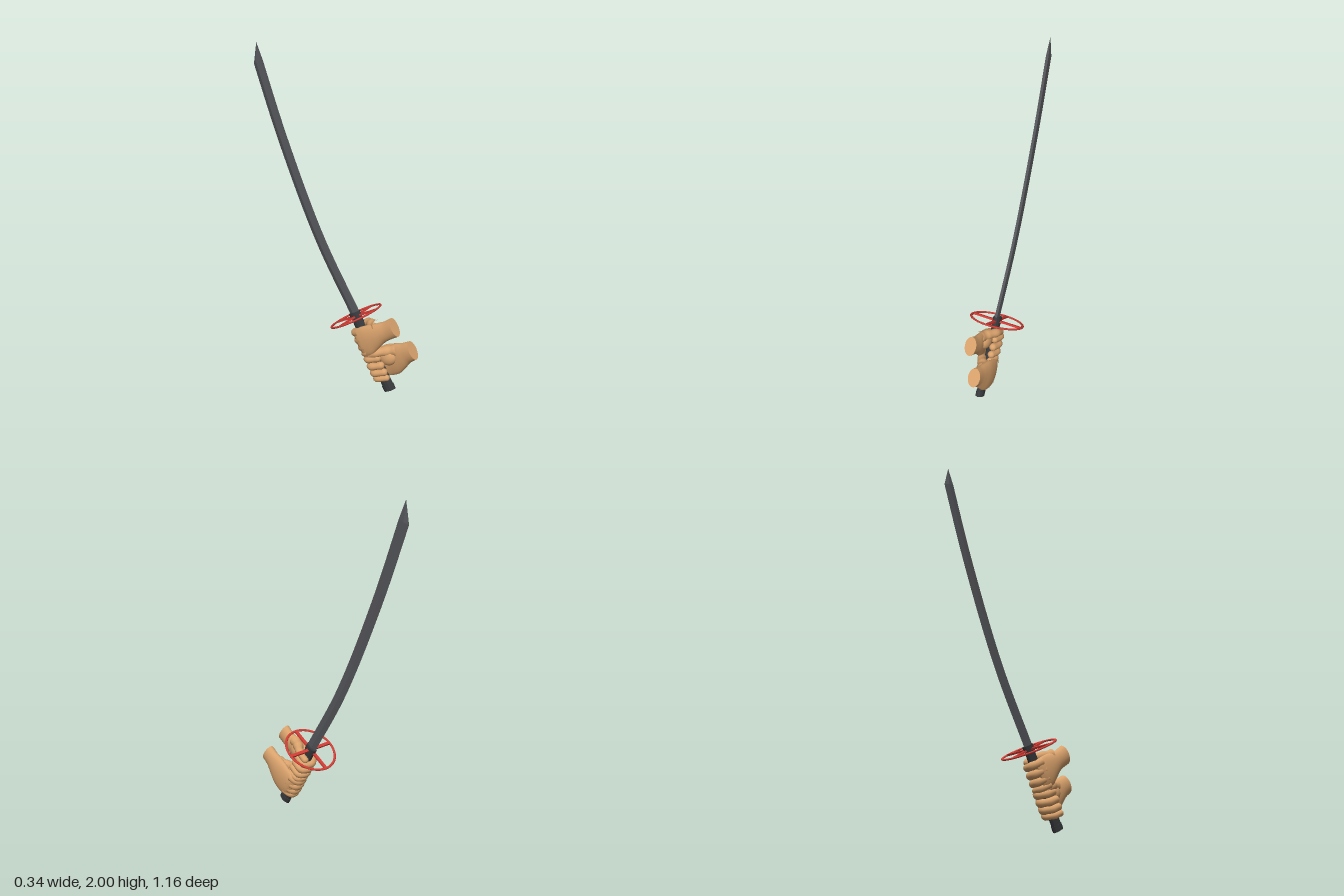
import * as THREE from 'three';
import { mergeVertices } from 'three/addons/utils/BufferGeometryUtils.js';

const V = (x, y, z) => new THREE.Vector3(x, y, z);
const paint = (color, flatShading = false) => new THREE.MeshStandardMaterial({ color, flatShading });
const steel = paint(0x55565a, true);
const grip = paint(0x38393c, true);
const red = paint(0xd23c34);
const skin = paint(0xd9a26c);

function add(parent, name, geometry, material, x = 0, y = 0, z = 0) {
  const mesh = new THREE.Mesh(geometry, material);
  mesh.name = name;
  mesh.position.set(x, y, z);
  parent.add(mesh);
  return mesh;
}

// Skin over cross-section rings (counterclockwise about the travel direction), capped at both ends
function loft(rings) {
  const n = rings[0].length, pos = [], idx = [];
  rings.forEach(r => r.forEach(p => pos.push(p.x, p.y, p.z)));
  for (let i = 0; i < rings.length - 1; i++)
    for (let j = 0; j < n; j++) {
      const a = i * n + j, b = i * n + (j + 1) % n;
      idx.push(a, b, b + n, a, b + n, a + n);
    }
  [rings[0], rings[rings.length - 1]].forEach((r, end) => {
    const base = pos.length / 3;
    const mid = r.reduce((s, p) => s.add(p), V(0, 0, 0)).divideScalar(n);
    [...r, mid].forEach(p => pos.push(p.x, p.y, p.z));
    for (let j = 0; j < n; j++) {
      const k = (j + 1) % n;
      idx.push(base + n, base + (end ? j : k), base + (end ? k : j));
    }
  });
  const g = new THREE.BufferGeometry();
  g.setAttribute('position', new THREE.Float32BufferAttribute(pos, 3));
  g.setIndex(idx);
  g.computeVertexNormals();
  return g;
}

// Round-ended finger that tapers from radius r0 to r1
function finger(points, r0, r1) {
  const curve = new THREE.CatmullRomCurve3(points);
  const seg = 24, sides = 12, g = new THREE.TubeGeometry(curve, seg, 1, sides);
  const p = g.attributes.position, v = V(0, 0, 0);
  for (let i = 0; i <= seg; i++) {
    const c = curve.getPointAt(i / seg);
    const r = THREE.MathUtils.lerp(r0, r1, i / seg) * (1 + 0.07 * Math.cos(i / seg * Math.PI * 6));
    for (let j = 0; j <= sides; j++) {
      const k = i * (sides + 1) + j;
      v.fromBufferAttribute(p, k).sub(c).multiplyScalar(r).add(c);
      p.setXYZ(k, v.x, v.y, v.z);
    }
  }
  g.deleteAttribute('uv');
  g.deleteAttribute('normal');
  const merged = mergeVertices(g, 1e-5);
  merged.computeVertexNormals();
  return merged;
}

// Fist on the grip: palm on side s, fingers wrapping over the back to the other side
function hand(name, s, sections, fingerY, thumbY) {
  const g = new THREE.Group();
  g.name = name;
  // section: [z, y, x, half height, half thickness]
  const path = new THREE.CatmullRomCurve3(sections.map(q => V(s * q[2], q[1], q[0])));
  const size = new THREE.CatmullRomCurve3(sections.map(q => V(q[3], q[4], 0)));
  const rings = [];
  for (let i = 0; i <= 24; i++) {
    const c = path.getPoint(i / 24), h = size.getPoint(i / 24);
    rings.push(Array.from({ length: 28 }, (_, j) => {
      const a = j / 28 * Math.PI * 2;
      return V(c.x + h.y * Math.cos(a), c.y - h.x * Math.sin(a), c.z);
    }));
  }
  add(g, 'palm', loft(rings), skin);
  fingerY.forEach((y, i) => {
    const r = [0.025, 0.026, 0.025, 0.021][i];
    const pts = [V(s * 0.045, y, 0.01), V(s * 0.037, y, -0.028), V(s * 0.005, y - 0.002, -0.047),
      V(-s * 0.03, y - 0.006, -0.036), V(-s * 0.037, y - 0.012, 0), V(-s * 0.027, y - 0.018, 0.04)];
    add(g, 'finger', finger(pts, r, r * 0.85), skin);
    add(g, 'fingerTip', new THREE.SphereGeometry(r * 0.9, 14, 10), skin, pts[5].x, pts[5].y, pts[5].z);
  });
  // thumb crosses the front of the grip
  const t = [V(s * 0.03, thumbY - 0.035, 0.15), V(s * 0.008, thumbY - 0.022, 0.1),
    V(-s * 0.02, thumbY - 0.01, 0.06), V(-s * 0.032, thumbY - 0.008, 0.02), V(-s * 0.03, thumbY - 0.012, -0.02)];
  add(g, 'thumb', finger(t, 0.036, 0.02), skin);
  add(g, 'thumbTip', new THREE.SphereGeometry(0.021, 14, 10), skin, t[4].x, t[4].y, t[4].z);
  const heel = add(g, 'thumbBase', new THREE.SphereGeometry(1, 20, 14), skin, s * 0.012, thumbY - 0.06, 0.085);
  heel.scale.set(0.036, 0.052, 0.06);
  return g;
}

export function createModel() {
  const model = new THREE.Group();

  // Blade: five-sided section swept along the curved spine, ending in a slanted point
  const spine = new THREE.CatmullRomCurve3([V(0, 0.463, 0.194), V(0, 0.89, -0.074),
    V(0, 1.45, -0.34), V(0, 1.998, -0.556)]);
  const rings = [];
  for (let i = 0; i <= 20; i++) {
    const t = i / 20 * 0.938, c = spine.getPointAt(t), d = spine.getTangentAt(t);
    const at = (x, w) => V(x, c.y + d.z * w, c.z - d.y * w);
    rings.push([at(0.008, 0), at(0.011, 0.038), at(0, 0.068), at(-0.011, 0.038), at(-0.008, 0)]);
  }
  rings.push(rings[0].map(() => V(0, 2, -0.557)));
  add(model, 'blade', loft(rings), steel);

  // Hilt: tilted frame with its origin at the guard and y along the grip
  const hilt = new THREE.Group();
  hilt.name = 'hilt';
  hilt.position.set(0, 0.445, 0.165);
  hilt.rotation.x = -0.545;
  model.add(hilt);
  const oval = (name, r, h, y) =>
    add(hilt, name, new THREE.CylinderGeometry(r, r, h, 12), grip, 0, y, 0).scale.set(0.6, 1, 1);
  oval('grip', 0.038, 0.49, -0.235);
  oval('pommel', 0.042, 0.035, -0.472);
  oval('collar', 0.041, 0.04, 0.005);

  // Guard: ring with crossed spokes
  const ring = add(hilt, 'guardRing', new THREE.TorusGeometry(0.161, 0.008, 10, 64), red);
  ring.rotation.x = Math.PI / 2;
  ring.scale.z = 0.7;
  add(hilt, 'guardSpoke', new THREE.BoxGeometry(0.32, 0.011, 0.02), red);
  add(hilt, 'guardSpoke', new THREE.BoxGeometry(0.02, 0.011, 0.32), red);

  // Hands
  hilt.add(hand('upperHand', -1, [
    [0.264, -0.125, 0.032, 0.058, 0.036], [0.21, -0.13, 0.032, 0.056, 0.034],
    [0.16, -0.132, 0.034, 0.06, 0.035], [0.09, -0.142, 0.04, 0.077, 0.033],
    [0.03, -0.152, 0.045, 0.09, 0.027], [-0.015, -0.155, 0.043, 0.088, 0.024],
    [-0.04, -0.155, 0.036, 0.07, 0.014]], [-0.088, -0.137, -0.185, -0.226], -0.055));
  hilt.add(hand('lowerHand', 1, [
    [0.2625, -0.3, 0.032, 0.058, 0.038], [0.21, -0.304, 0.034, 0.062, 0.036],
    [0.16, -0.312, 0.037, 0.078, 0.036], [0.09, -0.322, 0.043, 0.096, 0.034],
    [0.03, -0.325, 0.046, 0.095, 0.028], [-0.015, -0.322, 0.043, 0.088, 0.024],
    [-0.04, -0.322, 0.036, 0.07, 0.014]], [-0.258, -0.305, -0.349, -0.387], -0.235));
  return model;
}
